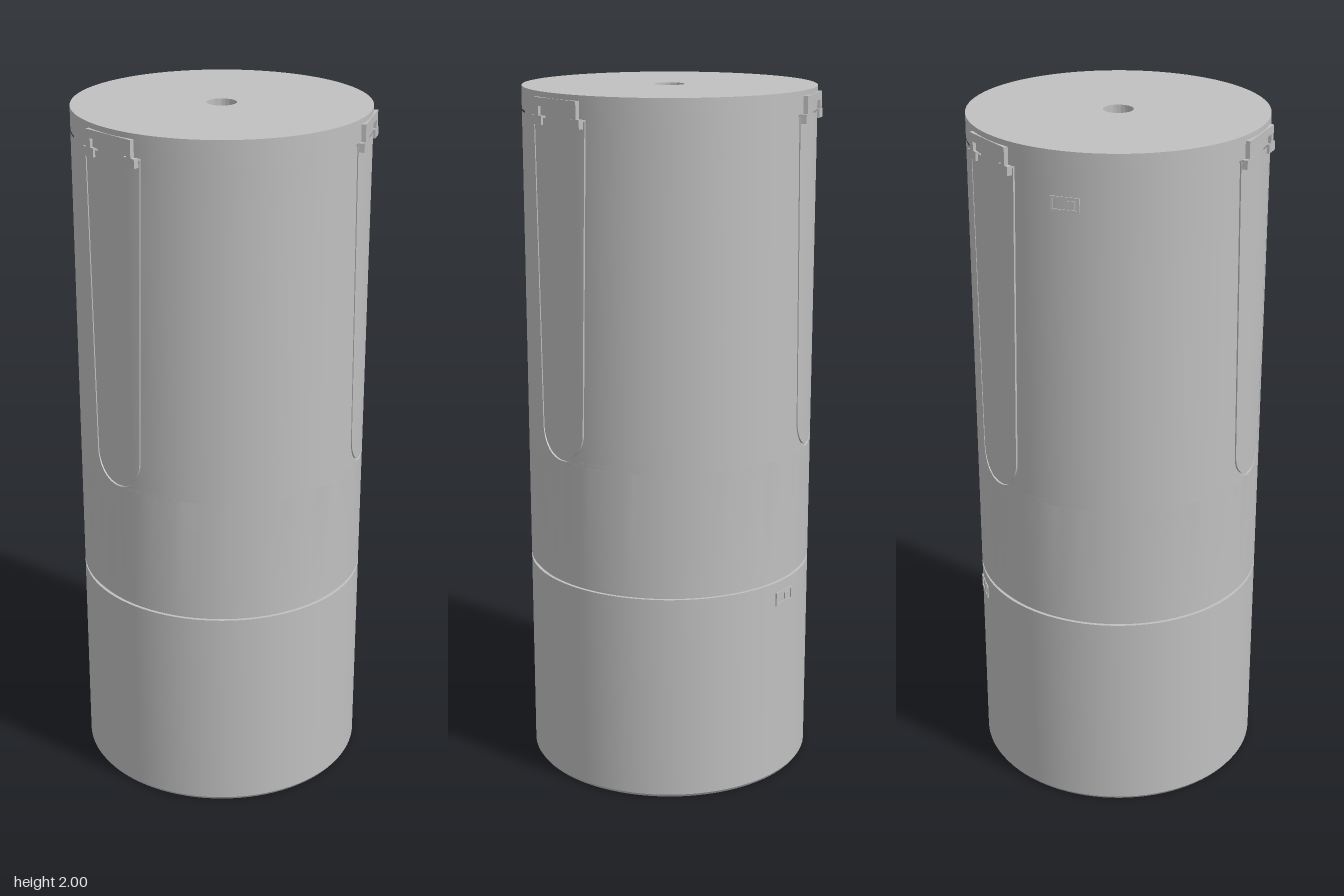
import * as THREE from 'three';
import { toCreasedNormals } from 'three/addons/utils/BufferGeometryUtils.js';

const R = 0.415;
const DEG = Math.PI / 180;
const CLIP_ANGLES = [60, 180, 300];

// Turned part from [radius, height] pairs, listed bottom to top
function turned(points) {
  const profile = points.map(([r, y]) => new THREE.Vector2(r, y));
  return toCreasedNormals(new THREE.LatheGeometry(profile, 96), 0.5);
}

// Half-width of a round-ended tongue at height y
function tongueWidth(y, radius) {
  const drop = 1.07 - y;
  if (drop >= radius - 1e-6) return 0;
  if (drop > 0) return Math.sqrt(radius * radius - drop * drop);
  return radius - 0.023 * drop;
}

// Cylinder wall with a U-shaped groove below each clip
function groovedWall() {
  const slit = 0.006, depth = 0.006, radius = 0.09;
  const heights = [0.622];
  for (let i = 0; i <= 14; i++) heights.push(1.07 - radius * Math.cos((i / 14) * Math.PI / 2));
  heights.push(1.07 - radius + slit, 1.35, 1.65, 1.931);
  heights.sort((a, b) => a - b);

  const positions = [], index = [];
  let count = 0;
  for (const y of heights) {
    const outer = Math.asin(tongueWidth(y, radius) / R);
    const inner = Math.asin(tongueWidth(y, radius - slit) / R);
    const half = [];
    for (let i = 0; i <= 16; i++) half.push([THREE.MathUtils.lerp(60 * DEG, outer, i / 16), R]);
    half.push([outer, R - depth], [inner, R - depth]);
    for (let i = 0; i <= 6; i++) half.push([inner * (1 - i / 6), inner > 0 ? R : R - depth]);
    const sector = half.map(([a, r]) => [-a, r]).concat(half.slice(0, -1).reverse());
    count = 0;
    for (const centre of CLIP_ANGLES) {
      for (const [a, r] of sector) {
        const angle = centre * DEG + a;
        positions.push(r * Math.sin(angle), y, r * Math.cos(angle));
        count++;
      }
    }
  }
  for (let row = 0; row < heights.length - 1; row++) {
    for (let i = 0; i < count; i++) {
      const a = row * count + i, b = row * count + (i + 1) % count;
      index.push(a, b, b + count, a, b + count, a + count);
    }
  }
  const geometry = new THREE.BufferGeometry();
  geometry.setAttribute('position', new THREE.Float32BufferAttribute(positions, 3));
  geometry.setIndex(index);
  return toCreasedNormals(geometry, 0.5);
}

// Latch bracket: top bar, two legs and wider feet
function clipGeometry() {
  const right = [[0.058, 1.912], [0.1, 1.912], [0.1, 1.937], [0.087, 1.937], [0.087, 1.985]];
  const innerRight = [[0.07, 1.962], [0.07, 1.937], [0.058, 1.937]];
  const mirror = (list) => list.map(([x, y]) => [-x, y]).reverse();
  const outline = [...right, ...mirror(right), ...mirror(innerRight), ...innerRight];
  const shape = new THREE.Shape(outline.map(([x, y]) => new THREE.Vector2(x, y)));
  return new THREE.ExtrudeGeometry(shape, { depth: 0.023, bevelEnabled: false });
}

// Rectangular port frame with an open centre
function portGeometry() {
  const rect = (Type, w, h) => new Type([[-w, -h], [w, -h], [w, h], [-w, h]]
    .map(([x, y]) => new THREE.Vector2(x, y)));
  const shape = rect(THREE.Shape, 0.04, 0.02);
  shape.holes.push(rect(THREE.Path, 0.034, 0.014));
  return new THREE.ExtrudeGeometry(shape, { depth: 0.006, bevelEnabled: false });
}

export function createModel() {
  const model = new THREE.Group();
  const gray = new THREE.MeshStandardMaterial({ color: 0xc0c0c0 });
  gray.name = 'light gray';

  function add(parent, name, geometry, x = 0, y = 0, z = 0) {
    const mesh = new THREE.Mesh(geometry, gray);
    mesh.name = name;
    mesh.position.set(x, y, z);
    parent.add(mesh);
    return mesh;
  }

  // Lower container, with a chamfered foot
  add(model, 'base', turned([[0, 0], [R - 0.006, 0], [R, 0.009], [R, 0.612], [R - 0.01, 0.612]]));
  // Inner core visible in the seams
  add(model, 'core', turned([[R - 0.009, 0.6], [R - 0.009, 1.95]]));
  // Main wall with its grooved tongues
  add(model, 'body', groovedWall());
  // Lid with a shallow round recess
  add(model, 'lid', turned([[R - 0.01, 1.937], [R, 1.937], [R, 2], [0.042, 2], [0.042, 1.97], [0, 1.97]]));

  // Three latches around the lid
  const bracket = clipGeometry();
  for (const angle of CLIP_ANGLES) {
    const clip = new THREE.Group();
    clip.name = 'clip';
    clip.rotation.y = angle * DEG;
    add(clip, 'clipBracket', bracket, 0, 0, 0.395);
    model.add(clip);
  }

  // Small ports on the back
  const frame = portGeometry();
  for (const [name, angle, y] of [['upperPort', 216, 1.86], ['lowerPort', 160, 0.56]]) {
    const port = new THREE.Group();
    port.name = name;
    port.rotation.y = angle * DEG;
    add(port, 'portFrame', frame, 0, y, R - 0.004);
    add(port, 'portSwitch', new THREE.BoxGeometry(0.024, 0.02, 0.006), 0.014, y, R - 0.001);
    model.add(port);
  }
  return model;
}
